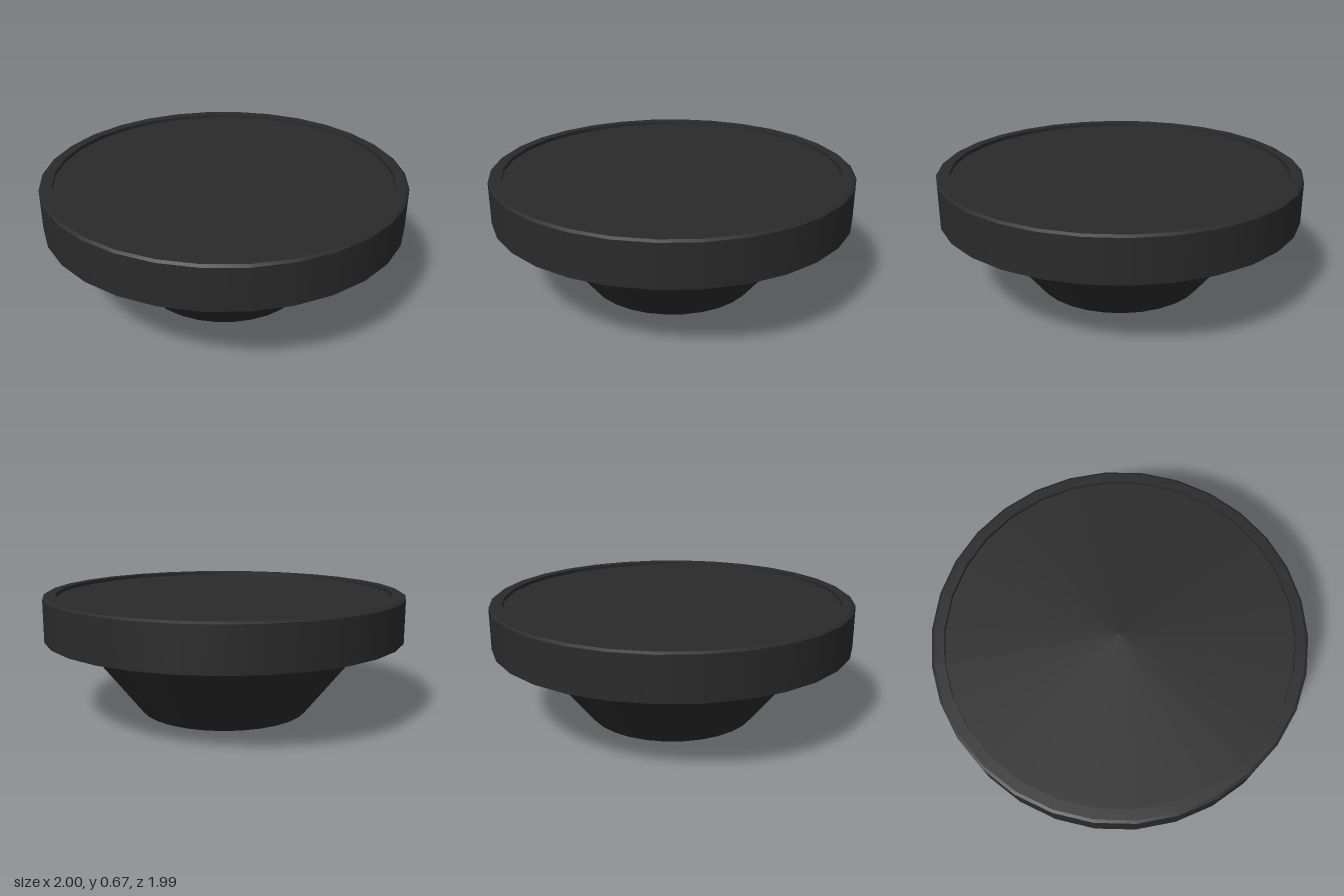
import * as THREE from 'three';
import { mergeGeometries } from 'three/addons/utils/BufferGeometryUtils.js';

const SIDES = 30;
const material = new THREE.MeshStandardMaterial({ color: 0x2a2a2a });

// Turns a profile of [radius, y] points; each straight run keeps sharp edges.
function turned(name, profile) {
  const bands = [];
  for (let i = 0; i < profile.length - 1; i++) {
    const run = [profile[i], profile[i + 1]].map(([r, y]) => new THREE.Vector2(r, y));
    bands.push(new THREE.LatheGeometry(run, SIDES, Math.PI / 2));
  }
  const mesh = new THREE.Mesh(mergeGeometries(bands), material);
  mesh.name = name;
  return mesh;
}

export function createModel() {
  const group = new THREE.Group();
  group.name = 'knob';

  // Tapered base, closed underneath
  group.add(turned('taperedBase', [[0, 0], [0.475, 0], [0.815, 0.43]]));

  // Wide rim with a small bevel and a shallow lip around the recess
  group.add(turned('rim', [
    [0.815, 0.43], [1, 0.43], [1, 0.66], [0.985, 0.67], [0.93, 0.67], [0.93, 0.65],
  ]));

  // Recessed top disc
  group.add(turned('topDisc', [[0.93, 0.65], [0, 0.65]]));

  return group;
}
